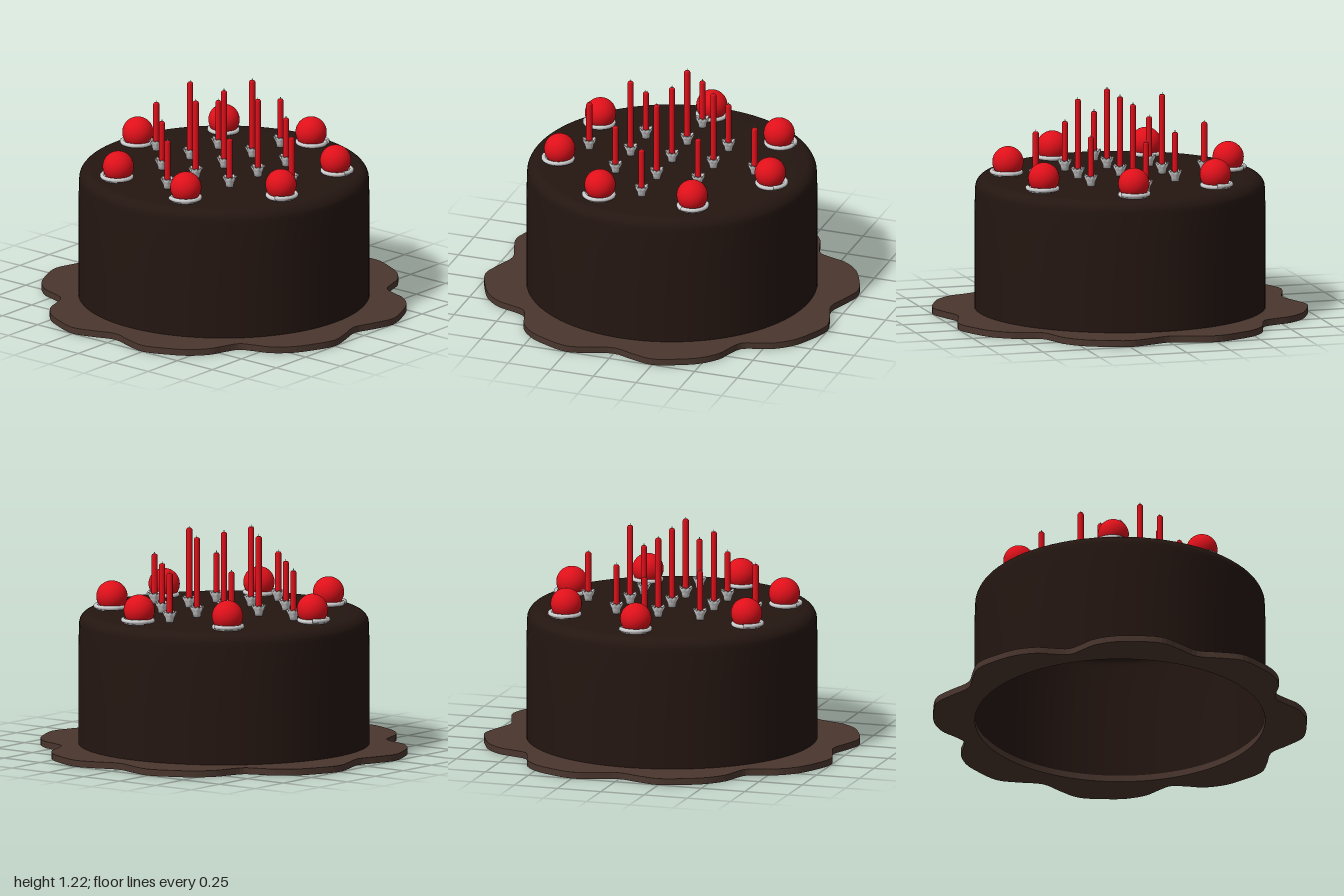
import * as THREE from 'three';

const material = (color, side = THREE.FrontSide) => new THREE.MeshStandardMaterial({ color, side });
const chocolate = material(0x241611, THREE.DoubleSide);
const brown = material(0x4a362e);
const red = material(0xe0101a);
const grey = material(0xcccccc, THREE.DoubleSide);

const TOP = 0.765;
const v2 = (x, y) => new THREE.Vector2(x, y);

function part(name, geometry, mat, x = 0, y = 0, z = 0) {
  const mesh = new THREE.Mesh(geometry, mat);
  mesh.name = name;
  mesh.position.set(x, y, z);
  return mesh;
}

// Flat board with eight wavy lobes and a round hole under the cake
function boardGeometry() {
  const half = [[0, 0.933], [7.5, 0.98], [14, 1.03], [22.5, 1.028], [29, 1.02], [35.5, 0.985], [40, 0.935], [45, 0.9]];
  const quarter = [...half, ...half.slice(1, -1).reverse().map(([a, r]) => [90 - a, r])];
  const points = [];
  for (let q = 0; q < 4; q++) {
    for (const [deg, r] of quarter) {
      const a = THREE.MathUtils.degToRad(deg + 90 * q);
      points.push(new THREE.Vector3(r * Math.cos(a), r * Math.sin(a), 0));
    }
  }
  const outline = new THREE.CatmullRomCurve3(points, true).getPoints(224);
  const shape = new THREE.Shape(outline.slice(0, -1).map((p) => v2(p.x, p.y)));
  shape.holes.push(new THREE.Path().absarc(0, 0, 0.797, 0, Math.PI * 2, true));
  return new THREE.ExtrudeGeometry(shape, { depth: 0.036, bevelEnabled: false, curveSegments: 64 }).rotateX(-Math.PI / 2);
}

// Hollow cake shell with a softly rounded top edge
function cakeGeometry() {
  const profile = [v2(0.8, 0.002), v2(0.8, 0.3), v2(0.8, 0.56), v2(0.796, 0.69)];
  for (let i = 1; i <= 8; i++) {
    const a = (i / 8) * Math.PI / 2;
    profile.push(v2(0.731 + 0.065 * Math.cos(a), 0.7 + 0.065 * Math.sin(a)));
  }
  profile.push(v2(0.6, TOP), v2(0, TOP));
  return new THREE.LatheGeometry(profile, 96);
}

// Flared candle cup whose rim is pinched into eight petals
function holderGeometry() {
  const profile = [[0.001, 0], [0.021, 0], [0.024, 0.022], [0.031, 0.036], [0.037, 0.052], [0.031, 0.058], [0.022, 0.04], [0.02, 0.02]];
  const geometry = new THREE.LatheGeometry(profile.map(([r, y]) => v2(r, y)), 48);
  const p = geometry.attributes.position;
  for (let i = 0; i < p.count; i++) {
    const flare = THREE.MathUtils.smoothstep(p.getY(i), 0.015, 0.05);
    const wave = Math.cos(8 * Math.atan2(p.getZ(i), p.getX(i)));
    const s = 1 + 0.1 * flare * wave;
    p.setXYZ(i, p.getX(i) * s, p.getY(i) + 0.004 * flare * wave, p.getZ(i) * s);
  }
  geometry.computeVertexNormals();
  return geometry;
}

// Piped ring of cream that spirals slightly outwards
function creamGeometry() {
  const points = [];
  for (let i = 0; i <= 40; i++) {
    const t = i / 40;
    const a = t * Math.PI * 2.7 - Math.PI * 2.4;
    const r = 0.07 + 0.015 * t;
    points.push(new THREE.Vector3(r * Math.cos(a), 0.008 + 0.012 * t, r * Math.sin(a)));
  }
  return new THREE.TubeGeometry(new THREE.CatmullRomCurve3(points), 90, 0.012, 10);
}

export function createModel() {
  const model = new THREE.Group();
  model.name = 'birthdayCake';
  model.add(part('cakeBoard', boardGeometry(), brown), part('cake', cakeGeometry(), chocolate));

  // Cherries on cream, each cream ring turned to face outwards
  const cherryGeo = new THREE.SphereGeometry(0.086, 32, 24);
  const creamGeo = creamGeometry();
  const cherries = [[0.11, -0.615], [-0.4, -0.48], [0.535, -0.315], [-0.62, -0.005], [0.58, 0.208], [-0.312, 0.533], [0.21, 0.58]];
  for (const [x, z] of cherries) {
    const group = new THREE.Group();
    group.name = 'cherryOnCream';
    group.position.set(x, TOP, z);
    group.rotation.y = -Math.atan2(z, x);
    group.add(part('cherry', cherryGeo, red, 0, 0.072, 0), part('cream', creamGeo, grey, 0.006, 0, 0));
    model.add(group);
  }

  // Thirteen candles in a diamond: the inner five are tall
  const holderGeo = holderGeometry();
  const step = 0.242;
  for (let i = -2; i <= 2; i++) {
    for (let j = -2; j <= 2; j++) {
      const distance = Math.abs(i) + Math.abs(j);
      if (distance > 2) continue;
      const height = distance < 2 ? 0.44 : 0.272;
      const group = new THREE.Group();
      group.name = 'candle';
      group.position.set(i * step, TOP, j * step);
      const wax = new THREE.LatheGeometry(
        [v2(0.017, 0), v2(0.017, height - 0.008), v2(0.012, height), v2(0, height)], 16);
      group.add(
        part('wax', wax, red),
        part('wick', new THREE.CylinderGeometry(0.002, 0.002, 0.016, 6), grey, 0, height + 0.004, 0),
        part('candleHolder', holderGeo, grey),
      );
      model.add(group);
    }
  }
  return model;
}
